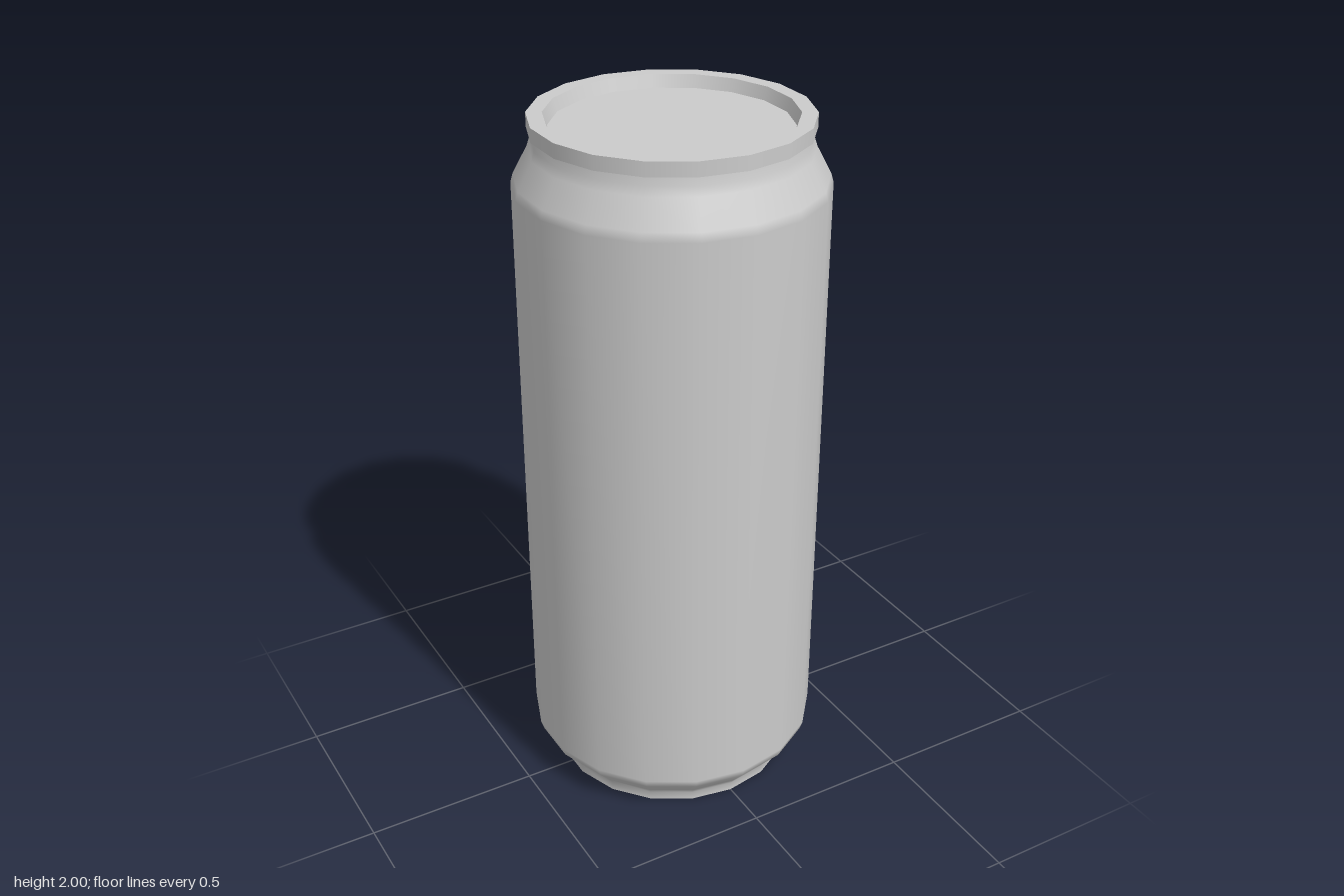
import * as THREE from 'three';

const SIDES = 18;

export function createModel() {
  const can = new THREE.Group();
  can.name = 'drinkCan';
  const material = new THREE.MeshStandardMaterial({ color: 0xcccccc });

  // Turns an open profile of [radius, height] pairs; separate profiles meet in sharp edges
  const turn = (name, profile) => {
    const points = profile.map(([r, y]) => new THREE.Vector2(r, y));
    const mesh = new THREE.Mesh(new THREE.LatheGeometry(points, SIDES), material);
    mesh.name = name;
    can.add(mesh);
  };

  // Concave base, rising to the centre
  const dome = [];
  for (let i = 0; i <= 5; i++) {
    const a = (i / 5) * Math.PI / 2;
    dome.push([0.335 * Math.sin(a), 0.1 * Math.cos(a)]);
  }
  turn('baseDome', dome);
  turn('footRing', [[0.335, 0], [0.355, 0]]);

  // Foot, lower taper, straight wall, shoulder and neck
  turn('body', [
    [0.355, 0], [0.355, 0.025], [0.368, 0.045], [0.417, 0.1], [0.425, 0.125],
    [0.425, 1.81], [0.418, 1.835], [0.378, 1.91], [0.37, 1.935], [0.366, 1.96],
  ]);

  // Square-edged rim around the lid
  turn('rimUnderside', [[0.36, 1.96], [0.378, 1.96]]);
  turn('rimOuterWall', [[0.378, 1.96], [0.378, 2]]);
  turn('rimTop', [[0.378, 2], [0.335, 2]]);
  turn('rimInnerWall', [[0.335, 2], [0.323, 1.965]]);

  // Sunken flat lid
  turn('lid', [[0.323, 1.965], [0, 1.965]]);

  return can;
}
